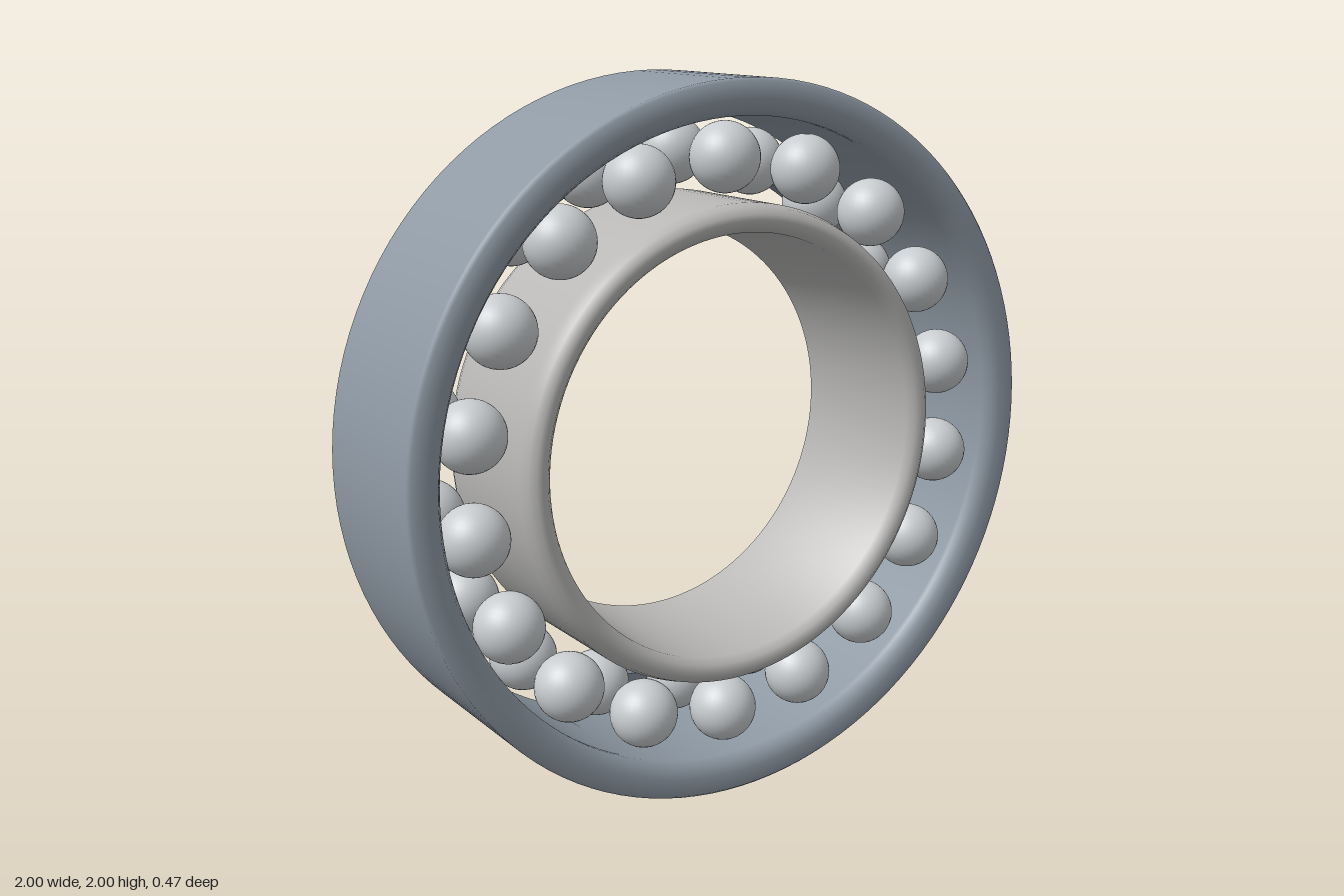
import * as THREE from 'three';
import { toCreasedNormals } from 'three/addons/utils/BufferGeometryUtils.js';

const material = (name, color) => {
  const m = new THREE.MeshStandardMaterial({ color });
  m.name = name;
  return m;
};

// Closed ring turned around the z axis from [radius, z] points,
// listed up the outside (towards +z) and back down the inside.
function ring(name, profile, mat, crease) {
  const points = [...profile, profile[0]].map(([r, z]) => new THREE.Vector2(r, z));
  const geometry = new THREE.LatheGeometry(points, 120);
  geometry.rotateX(Math.PI / 2);
  const mesh = new THREE.Mesh(toCreasedNormals(geometry, crease), mat);
  mesh.name = name;
  return mesh;
}

export function createModel() {
  const blueSteel = material('blue grey steel', 0x8f9aa5);
  const paleSteel = material('pale steel', 0xb9b8b7);
  const polished = material('polished steel', 0xc8cccf);
  const cageSteel = material('cage steel', 0x7f8a96);

  const bearing = new THREE.Group();
  bearing.name = 'ballBearing';

  // Outer race: straight walls with softened rims
  bearing.add(ring('outerRace', [
    [1, -0.22], [1, -0.215], [1, 0.215], [1, 0.228], [0.992, 0.2375],
    [0.945, 0.2375], [0.915, 0.228], [0.9, 0.205], [0.9, 0.19],
    [0.9, -0.225], [0.915, -0.232], [0.945, -0.2375], [0.992, -0.2375], [1, -0.228],
  ], blueSteel, 1.0));

  // Inner race: rounded rims around a slightly flared bore
  bearing.add(ring('innerRace', [
    [0.672, -0.17], [0.672, 0.17], [0.672, 0.19], [0.663, 0.22], [0.645, 0.234],
    [0.63, 0.2375], [0.612, 0.23], [0.595, 0.21],
    [0.574, -0.215], [0.595, -0.23], [0.62, -0.2375], [0.645, -0.232],
    [0.663, -0.215], [0.672, -0.19],
  ], paleSteel, 0.8));

  // Cage band running through the rear row of balls
  bearing.add(ring('cage', [
    [0.818, -0.2], [0.818, -0.13], [0.757, -0.13], [0.757, -0.2],
  ], cageSteel, 0.6));

  // Two matching rows of balls
  const count = 18;
  const ballGeometry = new THREE.SphereGeometry(0.096, 32, 20);
  for (const [rowName, z] of [['frontBalls', 0.13], ['rearBalls', -0.13]]) {
    const row = new THREE.Group();
    row.name = rowName;
    for (let i = 0; i < count; i++) {
      const a = (i / count) * Math.PI * 2;
      const ball = new THREE.Mesh(ballGeometry, polished);
      ball.name = 'ball';
      ball.position.set(Math.sin(a) * 0.788, Math.cos(a) * 0.788, z);
      row.add(ball);
    }
    bearing.add(row);
  }

  bearing.position.y = 1;
  const model = new THREE.Group();
  model.name = 'model';
  model.add(bearing);
  return model;
}
